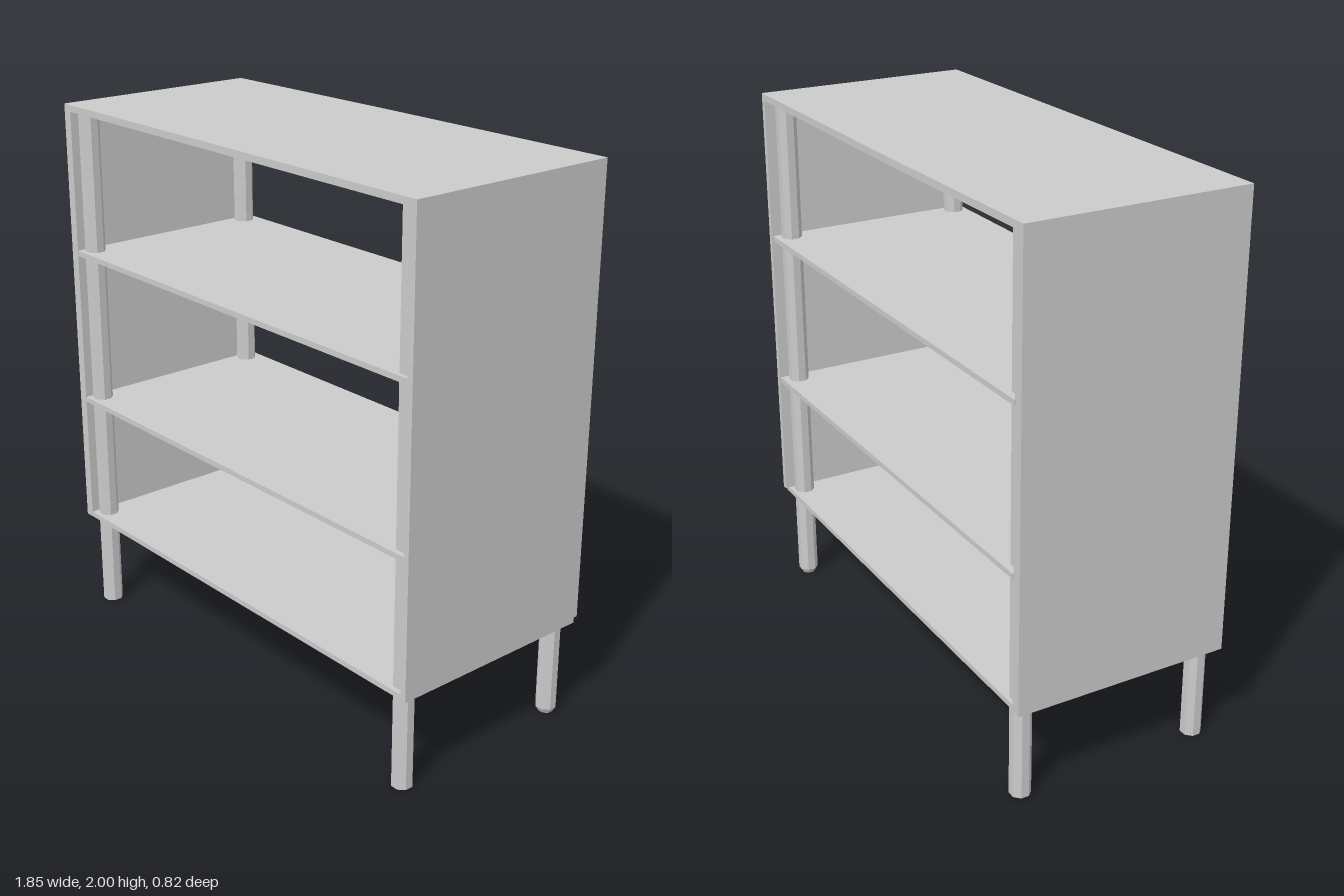
import * as THREE from 'three';

export function createModel() {
  const group = new THREE.Group();
  const mat = new THREE.MeshStandardMaterial({ color: 0xcccccc, flatShading: true });

  function add(name, geometry, x = 0, y = 0, z = 0) {
    const mesh = new THREE.Mesh(geometry, mat);
    mesh.name = name;
    mesh.position.set(x, y, z);
    group.add(mesh);
    return mesh;
  }

  // Box given by its limits on each axis
  function board(name, [x0, x1], [y0, y1], [z0, z1]) {
    return add(name, new THREE.BoxGeometry(x1 - x0, y1 - y0, z1 - z0),
      (x0 + x1) / 2, (y0 + y1) / 2, (z0 + z1) / 2);
  }

  function extrude(points, depth) {
    const shape = new THREE.Shape(points.map(([a, b]) => new THREE.Vector2(a, b)));
    return new THREE.ExtrudeGeometry(shape, { depth, bevelEnabled: false });
  }

  // Top board, its back edge tapering slightly to one end (shape y is -z)
  const top = extrude([[-0.925, -0.41], [0.922, -0.41], [0.922, 0.41], [-0.1, 0.41], [-0.925, 0.4]], 0.025);
  top.rotateX(-Math.PI / 2);
  add('topBoard', top, 0, 1.975, 0);

  // Side panels
  board('rightPanel', [-0.925, -0.888], [0.36, 1.975], [-0.4, 0.41]);
  const side = extrude([[-0.41, 0.36], [0.395, 0.36], [0.395, 0.38], [0.41, 0.38], [0.41, 1.975], [-0.41, 1.975]], 0.022);
  side.rotateY(Math.PI / 2);
  add('leftPanel', side, 0.9, 0, 0);

  // Bottom board and two shelves
  board('bottomBoard', [-0.89, 0.91], [0.36, 0.38], [-0.395, 0.409]);
  for (const y of [0.85, 1.435]) board('shelf', [-0.89, 0.91], [y, y + 0.02], [-0.405, 0.409]);

  // Octagonal posts running from the floor to the top board
  const r = 0.038;
  for (const x of [-0.85, 0.86]) {
    for (const z of [-0.345, 0.357]) {
      const tip = x > 0 && z < 0 ? 0.02 : 0; // one foot is chamfered
      const name = z > 0 ? 'frontLeg' : 'backLeg';
      add(name, new THREE.CylinderGeometry(r, r, 1.98 - tip, 8, 1, false, Math.PI / 8), x, (1.98 + tip) / 2, z);
      if (tip) add('footTip', new THREE.CylinderGeometry(r, 0.026, tip, 8, 1, false, Math.PI / 8), x, tip / 2, z);
    }
  }
  return group;
}
